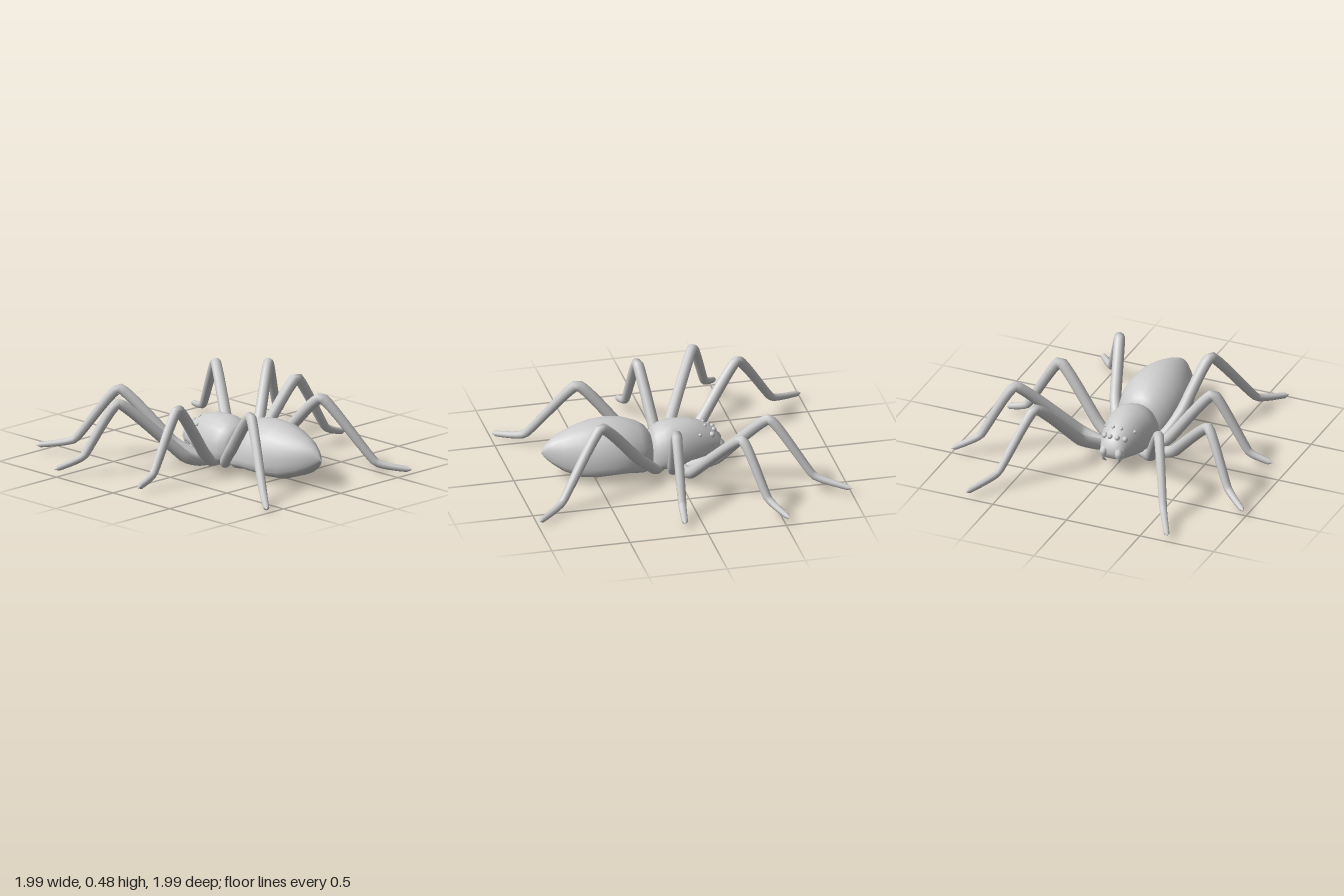
import * as THREE from 'three';

const grey = new THREE.MeshStandardMaterial({ color: 0xcccccc });

function addMesh(parent, name, geometry) {
  const mesh = new THREE.Mesh(geometry, grey);
  mesh.name = name;
  parent.add(mesh);
  return mesh;
}

// Closed body from sections [z, half width, top y, widest y, bottom y]:
// a round dome above the widest line and a squarer belly below it.
function bodyGeometry(sections, sides = 24) {
  const positions = [], index = [];
  for (const [z, w, top, mid, bottom] of sections) {
    for (let j = 0; j < sides; j++) {
      const a = (j / sides) * Math.PI * 2;
      const c = Math.cos(a), s = Math.sin(a);
      const p = s < 0 ? 0.65 : 1;
      const x = w * Math.sign(c) * Math.abs(c) ** p;
      const y = s < 0 ? mid - (mid - bottom) * Math.abs(s) ** p : mid + (top - mid) * s;
      positions.push(x, y, z);
    }
  }
  for (let i = 0; i < sections.length - 1; i++) {
    for (let j = 0; j < sides; j++) {
      const k = (j + 1) % sides;
      const a = i * sides + j, b = i * sides + k;
      index.push(a, b, a + sides, b, b + sides, a + sides);
    }
  }
  const g = new THREE.BufferGeometry();
  g.setAttribute('position', new THREE.Float32BufferAttribute(positions, 3));
  g.setIndex(index);
  g.computeVertexNormals();
  return g;
}

// Height of a body's upper surface at x, z
function surfaceY(sections, x, z) {
  const i = Math.max(1, sections.findIndex((s) => s[0] >= z));
  const a = sections[i - 1], b = sections[i];
  const t = (z - a[0]) / (b[0] - a[0]);
  const [, w, top, mid] = a.map((v, k) => v + (b[k] - v) * t);
  return mid + (top - mid) * Math.sqrt(Math.max(0, 1 - (x / w) ** 2));
}

// Tapered tube through points [x, y, z, radius], rounded at both ends
function limbGeometry(points, steps = 48, sides = 10) {
  const path = points.map(([x, y, z]) => new THREE.Vector3(x, y, z));
  const curve = new THREE.CatmullRomCurve3(path, false, 'catmullrom', 0.2);
  const length = curve.getLength();
  const g = new THREE.TubeGeometry(curve, steps, 1, sides, false);
  const pos = g.attributes.position, nor = g.attributes.normal;
  const v = new THREE.Vector3(), n = new THREE.Vector3();
  for (let i = 0; i <= steps; i++) {
    const u = i / steps;
    const f = curve.getUtoTmapping(u) * (points.length - 1);
    const k = Math.min(Math.floor(f), points.length - 2);
    let r = THREE.MathUtils.lerp(points[k][3], points[k + 1][3], f - k);
    const end = Math.min(1, (Math.min(u, 1 - u) * length) / r);
    r *= Math.sqrt(1 - (1 - end) ** 2);
    const center = curve.getPointAt(u);
    for (let j = 0; j <= sides; j++) {
      const id = i * (sides + 1) + j;
      n.fromBufferAttribute(nor, id);
      v.copy(center).addScaledVector(n, r);
      pos.setXYZ(id, v.x, v.y, v.z);
    }
  }
  return g;
}

const abdomen = [
  [0.115, 0.002, 0.15, 0.14, 0.13],
  [0.125, 0.1, 0.23, 0.12, 0.04],
  [0.16, 0.15, 0.285, 0.12, 0.02],
  [0.21, 0.185, 0.32, 0.12, 0.025],
  [0.3, 0.21, 0.355, 0.125, 0.045],
  [0.4, 0.215, 0.367, 0.125, 0.045],
  [0.5, 0.2, 0.362, 0.125, 0.033],
  [0.6, 0.167, 0.338, 0.13, 0.035],
  [0.7, 0.113, 0.3, 0.15, 0.07],
  [0.76, 0.066, 0.267, 0.165, 0.11],
  [0.8, 0.032, 0.235, 0.18, 0.145],
  [0.825, 0.002, 0.19, 0.185, 0.18],
];

const carapace = [
  [-0.318, 0.002, 0.14, 0.135, 0.13],
  [-0.316, 0.07, 0.175, 0.13, 0.1],
  [-0.29, 0.084, 0.215, 0.13, 0.09],
  [-0.25, 0.1, 0.25, 0.13, 0.08],
  [-0.18, 0.127, 0.288, 0.125, 0.065],
  [-0.1, 0.15, 0.311, 0.12, 0.05],
  [0, 0.168, 0.313, 0.115, 0.03],
  [0.06, 0.164, 0.298, 0.11, 0.025],
  [0.105, 0.142, 0.275, 0.11, 0.03],
  [0.135, 0.11, 0.24, 0.11, 0.04],
  [0.142, 0.002, 0.13, 0.12, 0.11],
];

// Hip to foot, [x, y, z, radius]
const legs = {
  firstLeg: [
    [0.04, 0.045, -0.03, 0.03], [0.15, 0.055, -0.1, 0.036], [0.24, 0.14, -0.24, 0.038],
    [0.42, 0.46, -0.53, 0.033], [0.56, 0.11, -0.78, 0.025], [0.685, 0.05, -1.0, 0.016],
  ],
  secondLeg: [
    [0.04, 0.045, -0.01, 0.03], [0.18, 0.045, -0.045, 0.036], [0.32, 0.1, -0.065, 0.038],
    [0.655, 0.455, -0.3, 0.033], [0.84, 0.13, -0.42, 0.026], [0.995, 0.05, -0.525, 0.016],
  ],
  thirdLeg: [
    [0.04, 0.04, 0.01, 0.03], [0.17, 0.055, 0.025, 0.034], [0.25, 0.13, 0.04, 0.037],
    [0.52, 0.465, 0.085, 0.035], [0.75, 0.105, 0.105, 0.026], [0.905, 0.045, 0.123, 0.018],
  ],
  fourthLeg: [
    [0.04, 0.04, 0.05, 0.03], [0.15, 0.06, 0.13, 0.034], [0.225, 0.19, 0.265, 0.037],
    [0.31, 0.465, 0.52, 0.035], [0.49, 0.075, 0.81, 0.026], [0.635, 0.03, 0.99, 0.017],
  ],
};

// Eyes on one side: [x, z, radius]
const eyes = [
  [0.024, -0.272, 0.017], [0.068, -0.252, 0.019], [0.028, -0.215, 0.011], [0.098, -0.168, 0.011],
];

export function createModel() {
  const spider = new THREE.Group();
  spider.name = 'spider';

  addMesh(spider, 'abdomen', bodyGeometry(abdomen));
  addMesh(spider, 'carapace', bodyGeometry(carapace));

  // Breastplate joining the hips underneath
  const sternum = addMesh(spider, 'sternum', new THREE.SphereGeometry(1, 20, 12));
  sternum.scale.set(0.1, 0.035, 0.14);
  sternum.position.set(0, 0.045, 0);

  for (const side of [1, -1]) {
    const label = side > 0 ? 'left' : 'right';
    const mirror = (points) => points.map(([x, ...rest]) => [x * side, ...rest]);

    // Walking legs
    for (const [name, points] of Object.entries(legs)) {
      addMesh(spider, `${label} ${name}`, limbGeometry(mirror(points)));
    }

    // Jaw base and curved fang
    const jaw = [[0.045, 0.165, -0.29, 0.026], [0.052, 0.135, -0.312, 0.026], [0.052, 0.1, -0.305, 0.018]];
    const fang = [[0.055, 0.12, -0.318, 0.013], [0.052, 0.09, -0.315, 0.01], [0.04, 0.065, -0.29, 0.003]];
    addMesh(spider, `${label} jaw`, limbGeometry(mirror(jaw), 14));
    addMesh(spider, `${label} fang`, limbGeometry(mirror(fang), 14, 8));

    // Eyes resting on the carapace
    for (const [x, z, r] of eyes) {
      const eye = addMesh(spider, `${label} eye`, new THREE.SphereGeometry(r, 12, 8));
      eye.position.set(x * side, surfaceY(carapace, x, z), z);
    }
  }
  return spider;
}
